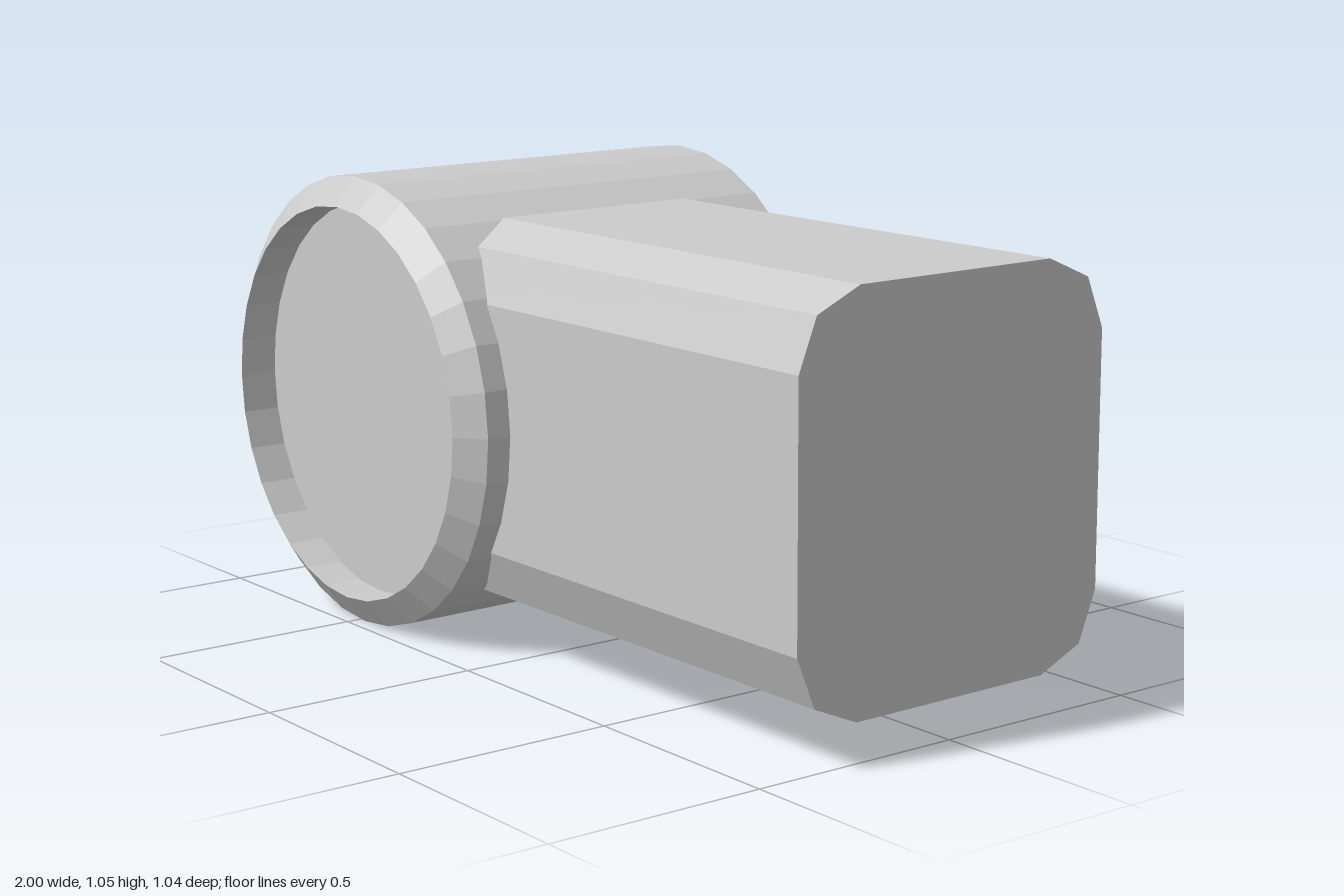
import * as THREE from 'three';

export function createModel() {
  const group = new THREE.Group();
  const material = new THREE.MeshStandardMaterial({ color: 0xcccccc, flatShading: true });
  const midY = 0.529;

  // Chamfered drum with a recessed disc at each end, turned about the z axis
  const half = [[0, 0.425], [0.455, 0.425], [0.455, 0.516], [0.521, 0.468]];
  const profile = [
    ...half.map(([r, h]) => new THREE.Vector2(r, -h)),
    ...half.slice().reverse().map(([r, h]) => new THREE.Vector2(r, h)),
  ];
  const drum = new THREE.Mesh(new THREE.LatheGeometry(profile, 32), material);
  drum.name = 'drum';
  drum.rotation.x = Math.PI / 2;
  drum.position.set(-0.479, 0, 0);
  group.add(drum);

  // Straight arm with bevelled corners, running from inside the drum towards +x
  const corner = [[0.41, 0.278], [0.365, 0.389], [0.255, 0.437]];
  const flipped = corner.slice().reverse();
  const section = [
    ...corner,
    ...flipped.map(([z, y]) => [-z, y]),
    ...corner.map(([z, y]) => [-z, -y]),
    ...flipped.map(([z, y]) => [z, -y]),
  ];
  const shape = new THREE.Shape(section.map(([z, y]) => new THREE.Vector2(z, y)));
  const start = -0.4;
  const armGeometry = new THREE.ExtrudeGeometry(shape, { depth: 1 - start, bevelEnabled: false });
  const arm = new THREE.Mesh(armGeometry, material);
  arm.name = 'arm';
  arm.rotation.y = Math.PI / 2;
  arm.position.set(start, 0, 0);
  group.add(arm);

  // The whole body leans very slightly towards the front
  group.rotation.x = 0.007;
  group.position.y = midY;

  const model = new THREE.Group();
  model.name = 'drumWithArm';
  group.name = 'body';
  model.add(group);
  return model;
}
